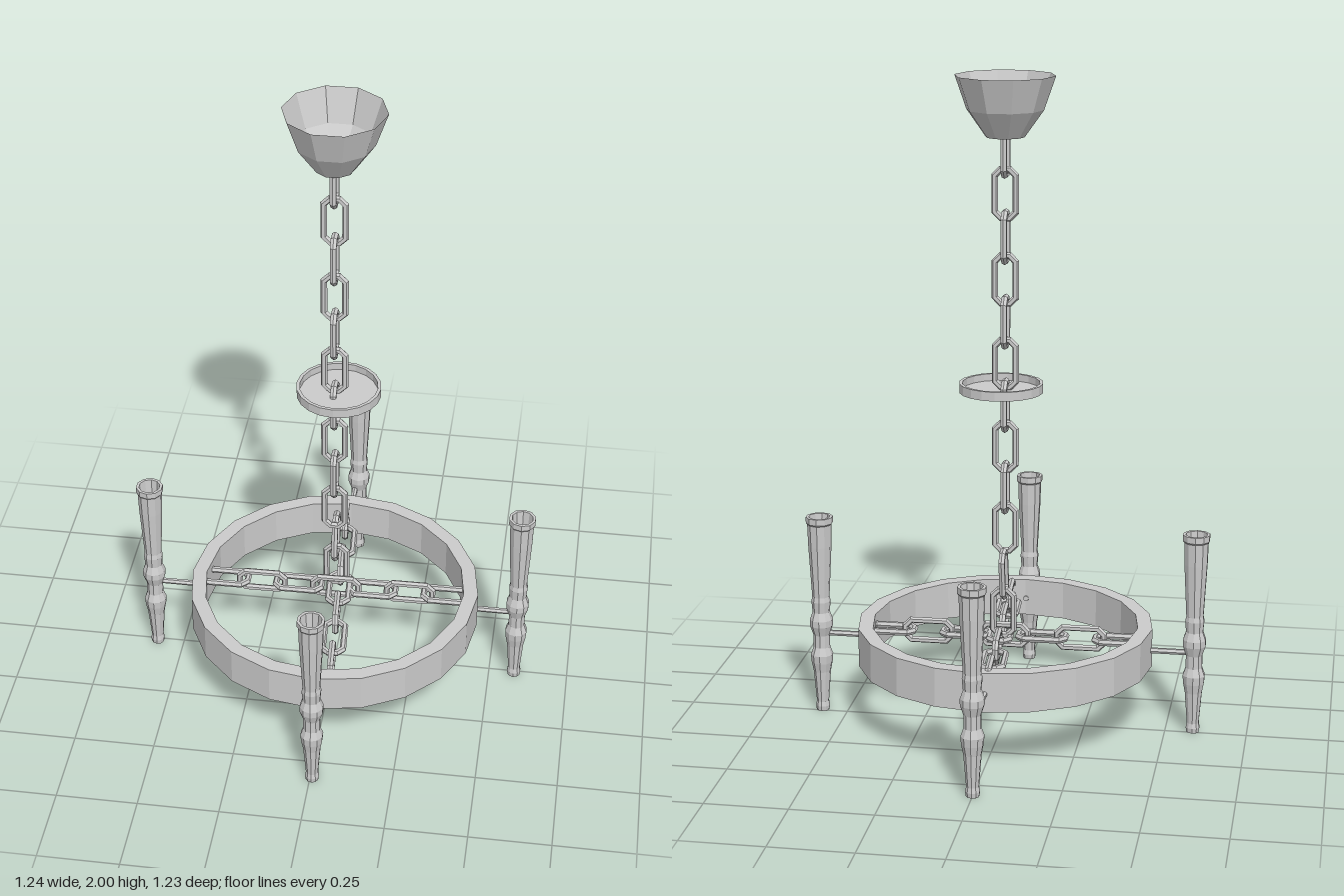
import * as THREE from 'three';

const material = new THREE.MeshStandardMaterial({ color: 0xcccccc, flatShading: true, side: THREE.DoubleSide });

function add(parent, name, geometry, x = 0, y = 0, z = 0) {
  const mesh = new THREE.Mesh(geometry, material);
  mesh.name = name;
  mesh.position.set(x, y, z);
  parent.add(mesh);
  return mesh;
}

function lathe(profile, sides, start = 0) {
  return new THREE.LatheGeometry(profile.map(([r, y]) => new THREE.Vector2(r, y)), sides, start);
}

// Octagonal ring pulled apart along y into an oblong chain link
function makeLinkGeometry() {
  const geometry = new THREE.TorusGeometry(0.034, 0.0105, 6, 8);
  geometry.rotateZ(Math.PI / 8);
  const p = geometry.attributes.position;
  for (let i = 0; i < p.count; i++) p.setY(i, p.getY(i) + Math.sign(p.getY(i)) * 0.041);
  geometry.computeVertexNormals();
  return geometry;
}

export function createModel() {
  const model = new THREE.Group();
  model.name = 'chandelier';
  const linkGeometry = makeLinkGeometry();

  // Ceiling cup, open at the top
  add(model, 'ceilingCup', lathe([[0, 1.82], [0.058, 1.82], [0.115, 1.9], [0.15, 2]], 10, Math.PI / 2), 0, 0, 0.015);

  // Hanging chain: links alternate by a quarter turn
  const hangingChain = new THREE.Group();
  hangingChain.name = 'hangingChain';
  model.add(hangingChain);
  for (let i = 0; i < 10; i++) {
    const link = add(hangingChain, 'chainLink', linkGeometry, 0, 1.78 - i * 0.1285, 0.02);
    link.rotation.y = i % 2 ? 0 : Math.PI / 2;
  }
  // Lowest links sway towards the back
  const swayed = add(hangingChain, 'chainLink', linkGeometry, 0, 0.485, -0.01);
  swayed.rotation.set(-0.0, Math.PI / 2, 0.2, 'YXZ');
  swayed.rotation.z = -0.2;
  add(hangingChain, 'chainLink', linkGeometry, 0, 0.365, -0.02);

  // Shallow dish on the chain
  add(model, 'dish', lathe([[0, 1.052], [0.127, 1.052], [0.127, 1.08], [0.117, 1.08], [0.117, 1.058], [0, 1.058]], 20),
    0.012, 0, 0.017);

  // Hoop
  add(model, 'hoop', lathe([[0.41, 0.2], [0.455, 0.2], [0.455, 0.32], [0.41, 0.32], [0.41, 0.2]], 20), 0, 0, 0.022);

  // Two chains crossing the hoop
  function crossChain(name, yaw, x, z, flatFirst) {
    const chain = new THREE.Group();
    chain.name = name;
    chain.position.set(x, 0.287, z);
    chain.rotation.y = yaw;
    model.add(chain);
    for (let i = -3; i <= 3; i++) {
      const link = add(chain, 'chainLink', linkGeometry, i * 0.118, 0, 0);
      const flat = (i % 2 !== 0) === flatFirst;
      link.rotation.set(flat ? Math.PI / 2 : 0, 0, Math.PI / 2, 'XYZ');
    }
  }
  crossChain('sideChain', 0.01, 0, -0.002, true);
  crossChain('frontChain', -Math.PI / 2 + 0.07, 0.012, 0.007, false);

  // Turned candle holders with a hollow top
  const holderGeometry = lathe([
    [0, 0], [0.02, 0], [0.022, 0.015], [0.019, 0.03], [0.027, 0.13], [0.033, 0.16], [0.035, 0.185], [0.026, 0.21],
    [0.026, 0.25], [0.036, 0.28], [0.036, 0.3], [0.027, 0.325], [0.03, 0.36], [0.027, 0.375],
    [0.036, 0.54], [0.038, 0.61], [0.042, 0.615], [0.042, 0.634], [0.033, 0.634], [0.024, 0.54], [0, 0.54],
  ], 10);
  const holders = [
    ['leftHolder', 0.58, 0.01, 1, 0],
    ['rightHolder', -0.585, 0.01, -1, 0],
    ['frontHolder', 0.007, 0.57, 0, 1],
    ['backHolder', 0, -0.575, 0, -1],
  ];
  for (const [name, x, z, dx, dz] of holders) {
    const group = new THREE.Group();
    group.name = name;
    group.position.set(x, 0, z);
    model.add(group);
    add(group, 'candleHolder', holderGeometry);
    // Thin arm back to the hoop
    const arm = add(group, 'arm', new THREE.CylinderGeometry(0.009, 0.009, 0.13, 6), -dx * 0.08 - Math.abs(dz) * 0.01, 0.256, -dz * 0.08);
    if (dx) arm.rotation.z = Math.PI / 2;
    else arm.rotation.x = Math.PI / 2;
  }
  return model;
}
